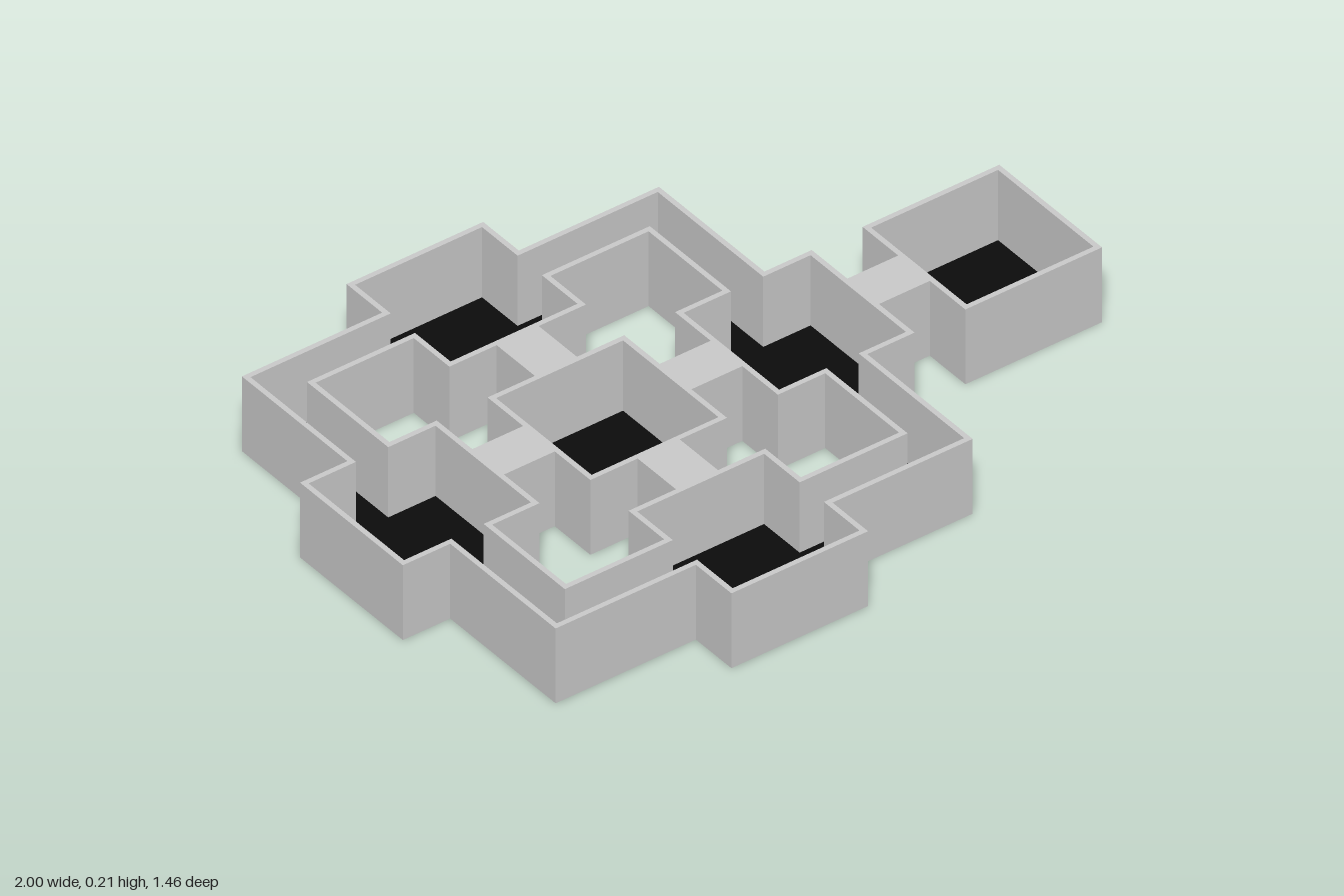
import * as THREE from 'three';

const H = 0.214;        // wall height
const T = 0.014;        // wall thickness
const FLOOR = 0.012;    // floor slab thickness
const D = 0.535;        // spacing between room centres
const ROOM = 0.195;     // half width of a room
const HALL = 0.06;      // half width of a corridor
const CX = -0.27;       // centre of the ring

const grey = new THREE.MeshStandardMaterial({ color: 0xcccccc, flatShading: true });
const dark = new THREE.MeshStandardMaterial({ color: 0x0c0c0c });

// Stepped boundary of the ring: side 1 is the outer edge, -1 the inner; t insets into the ring
function ringOutline(side, t) {
  const r = ROOM - t, h = HALL - t;
  const a = D + side * r, b = D + side * h;
  const quarter = [[a, r], [b, r], [b, b], [r, b], [r, a]];
  const points = [];
  for (let q = 0; q < 4; q++) {
    for (const [u, v] of quarter) {
      points.push(new THREE.Vector2(u, v).rotateAround(new THREE.Vector2(), q * Math.PI / 2));
    }
  }
  return points;
}

function squareOutline(t) {
  const r = ROOM - t;
  return [[r, r], [-r, r], [-r, -r], [r, -r]].map(([x, y]) => new THREE.Vector2(x, y));
}

function plan(outer, hole) {
  const shape = new THREE.Shape(outer);
  if (hole) shape.holes.push(new THREE.Path(hole));
  return shape;
}

function addMesh(group, name, geometry, material, y = 0) {
  const mesh = new THREE.Mesh(geometry, material);
  mesh.name = name;
  mesh.position.y = y;
  group.add(mesh);
  return mesh;
}

function extrude(shape, depth) {
  return new THREE.ExtrudeGeometry(shape, { depth, bevelEnabled: false }).rotateX(-Math.PI / 2);
}

// Slab with a dark walking surface
function addFloor(group, shape) {
  addMesh(group, 'floorSlab', extrude(shape, FLOOR), grey);
  addMesh(group, 'floorSurface', new THREE.ShapeGeometry(shape).rotateX(-Math.PI / 2), dark, FLOOR + 0.001);
}

function closedRoom(name, x) {
  const room = new THREE.Group();
  room.name = name;
  room.position.x = x;
  addMesh(room, 'roomWalls', extrude(plan(squareOutline(0), squareOutline(T)), H), grey);
  addFloor(room, plan(squareOutline(T)));
  return room;
}

export function createModel() {
  const model = new THREE.Group();
  model.name = 'floorPlan';

  // Ring of four rooms joined by corridors
  const ring = new THREE.Group();
  ring.name = 'roomRing';
  ring.position.x = CX;
  addMesh(ring, 'outerWall', extrude(plan(ringOutline(1, 0), ringOutline(1, T)), H), grey);
  addMesh(ring, 'innerWall', extrude(plan(ringOutline(-1, T), ringOutline(-1, 0)), H), grey);
  addFloor(ring, plan(ringOutline(1, T), ringOutline(-1, T)));
  model.add(ring);

  // Detached rooms
  model.add(closedRoom('centreRoom', CX), closedRoom('farRoom', CX + 2 * D));

  // Roofed links between neighbouring rooms
  const gap = D - 2 * ROOM;
  const links = [[-D / 2, 0], [D / 2, 0], [1.5 * D, 0], [0, -D / 2], [0, D / 2]];
  for (const [x, z] of links) {
    const size = z === 0 ? [gap, H, 2 * HALL] : [2 * HALL, H, gap];
    const link = addMesh(model, 'linkPassage', new THREE.BoxGeometry(...size), grey, H / 2);
    link.position.x = CX + x;
    link.position.z = z;
  }
  return model;
}
